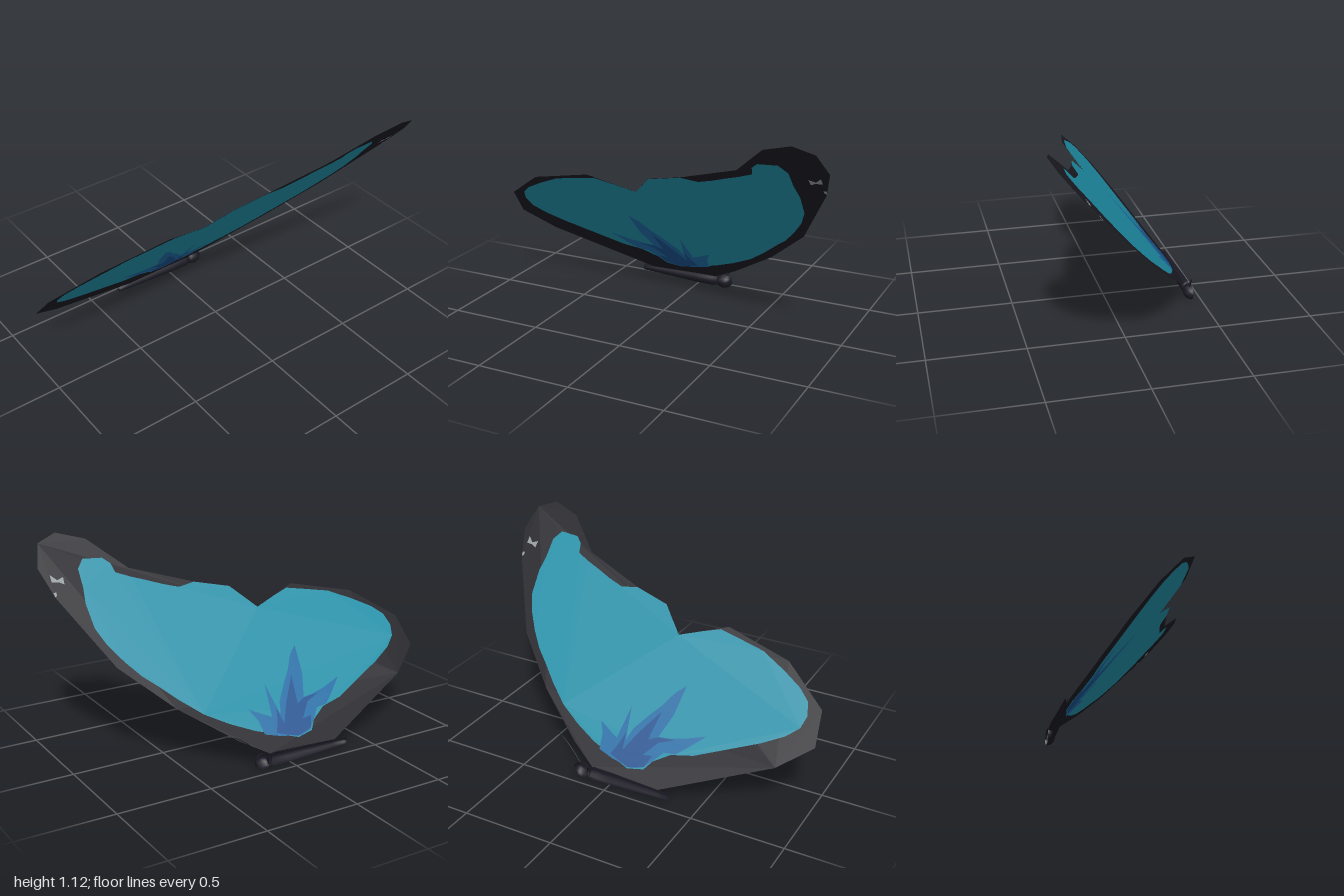
import * as THREE from 'three';

const flat = (name, color) => {
  const m = new THREE.MeshStandardMaterial({ color, side: THREE.DoubleSide });
  m.name = name;
  return m;
};

// The wing lies in the sloping plane y = RISE + SLOPE * x.
const SLOPE = 1.21, RISE = 0.588;
const NORMAL = new THREE.Vector3(SLOPE, -1, 0).normalize();

// Flat patch from [z, y] points in hundredths, laid in the wing plane and shifted along its normal.
function wingPatch(name, points, material, offset) {
  const shape = new THREE.Shape(points.map(([z, y]) => new THREE.Vector2(-z / 100, y / 100)));
  const geo = new THREE.ShapeGeometry(shape);
  const p = geo.attributes.position;
  for (let i = 0; i < p.count; i++) {
    const z = -p.getX(i), y = p.getY(i);
    p.setXYZ(i,
      (y - RISE) / SLOPE + NORMAL.x * offset,
      y + NORMAL.y * offset,
      z);
  }
  geo.computeVertexNormals();
  const mesh = new THREE.Mesh(geo, material);
  mesh.name = name;
  return mesh;
}

const OUTLINE = [
  [100, 38.3], [98, 52.7], [74.5, 68], [38.3, 75.7], [12.6, 67.7], [0.5, 79], [-19, 83.3],
  [-52.7, 93.5], [-70.4, 108.5], [-85.4, 112.7], [-96, 109], [-100, 98.3], [-95.5, 85],
  [-76.3, 53.3], [-52.7, 32.4], [-26, 14.7], [-11.5, 7], [28, 6], [83.7, 27],
];
const FIELD = [
  [91.8, 49], [90, 54.5], [84, 59], [73.5, 64], [60, 69.5], [46, 72], [34.5, 74], [25, 71.5],
  [12.6, 67.8], [0.5, 78.9], [-19, 83.2], [-28.5, 82], [-37, 84.3], [-45, 87], [-53, 89.5],
  [-60.5, 92.3], [-61.5, 96.5], [-65, 99.3], [-75.5, 100], [-79.5, 96], [-80, 88], [-81.5, 81],
  [-81, 70.5], [-77.5, 63], [-71.5, 55], [-65, 48], [-58, 42.5], [-50, 35.7], [-39.5, 28],
  [-27.5, 22], [-15, 17], [-4.5, 14], [8, 10.5], [17, 12], [20.5, 16], [29, 20.5], [41, 22.7],
  [57, 28.6], [73, 34.5], [84, 39.5], [90, 44],
];
const RAYS = [
  [26, 48.5], [21, 44.7], [16, 38.3], [11.5, 34], [4.6, 26.5], [2.4, 21.2], [0.8, 29], [-0.3, 35],
  [-1.9, 26.5], [-3, 21], [-7.2, 22.7], [-14.7, 26], [-11.5, 21], [-10.5, 14.7], [-1.9, 12.6],
  [10, 11], [16.3, 12.6], [20.6, 16.3], [25, 20.6], [31.3, 21.2], [36.7, 25], [44.7, 31.3],
  [33, 28], [25, 26.5], [19.5, 26], [24, 36],
];
const CORE = [
  [17, 36], [12.6, 30.8], [7.8, 25], [2.4, 17], [1.3, 24.3], [-0.3, 20], [-3.5, 14.2], [7.8, 11],
  [16.9, 13], [19.5, 18], [14.2, 17.4], [20.6, 23.8], [29, 26.5], [19.5, 25.8], [14.5, 23.8],
];
const SPOTS = [
  [[-88.5, 93.5], [-92, 92.5], [-95, 95], [-95.2, 91.8], [-91.5, 91.5], [-89, 90.3]],
  [[-94.5, 87.5], [-96, 87.5], [-95.8, 85.6], [-94.6, 86]],
];

export function createModel() {
  const black = flat('wing black', 0x1b1b23);
  const bodyBlack = flat('body black', 0x1c1a25);
  const teal = flat('teal', 0x1f90a8);
  const blue = flat('blue', 0x1f6da5);
  const deepBlue = flat('deep blue', 0x1c5290);
  const grey = flat('pale grey', 0x929a9c);

  const model = new THREE.Group();
  model.name = 'halfButterfly';

  // Wing membrane with painted layers on both faces
  const wing = new THREE.Group();
  wing.name = 'wing';
  wing.add(wingPatch('wingMembrane', OUTLINE, black, 0));
  for (const side of [-1, 1]) {
    wing.add(wingPatch('wingField', FIELD, teal, side * 0.001));
    wing.add(wingPatch('wingRays', RAYS, blue, side * 0.002));
    wing.add(wingPatch('wingRayCore', CORE, deepBlue, side * 0.003));
    SPOTS.forEach((s) => wing.add(wingPatch('wingSpot', s, grey, side * 0.001)));
  }
  model.add(wing);

  // Half body, open along the symmetry plane: profiles are [radius, z]
  const halfLathe = (name, profile, y) => {
    const pts = profile.map(([r, z]) => new THREE.Vector2(r, z));
    const geo = new THREE.LatheGeometry(pts, 6, 0, Math.PI).rotateX(Math.PI / 2);
    const mesh = new THREE.Mesh(geo, bodyBlack);
    mesh.name = name;
    mesh.position.set(-0.45, y, 0);
    model.add(mesh);
  };
  halfLathe('head', [[0, -0.212], [0.022, -0.206], [0.038, -0.19], [0.044, -0.165],
    [0.038, -0.138], [0.022, -0.122], [0, -0.117]], 0.047);
  halfLathe('body', [[0, -0.135], [0.028, -0.13], [0.036, -0.1], [0.035, 0], [0.028, 0.15],
    [0.022, 0.27], [0.018, 0.345], [0, 0.355]], 0.044);

  // Antenna
  const path = new THREE.CatmullRomCurve3([
    [-0.436, 0.08, -0.18], [-0.424, 0.145, -0.24], [-0.408, 0.185, -0.3], [-0.39, 0.2, -0.355],
  ].map((p) => new THREE.Vector3(...p)));
  const antenna = new THREE.Mesh(new THREE.TubeGeometry(path, 10, 0.0025, 5), bodyBlack);
  antenna.name = 'antenna';
  model.add(antenna);

  return model;
}
